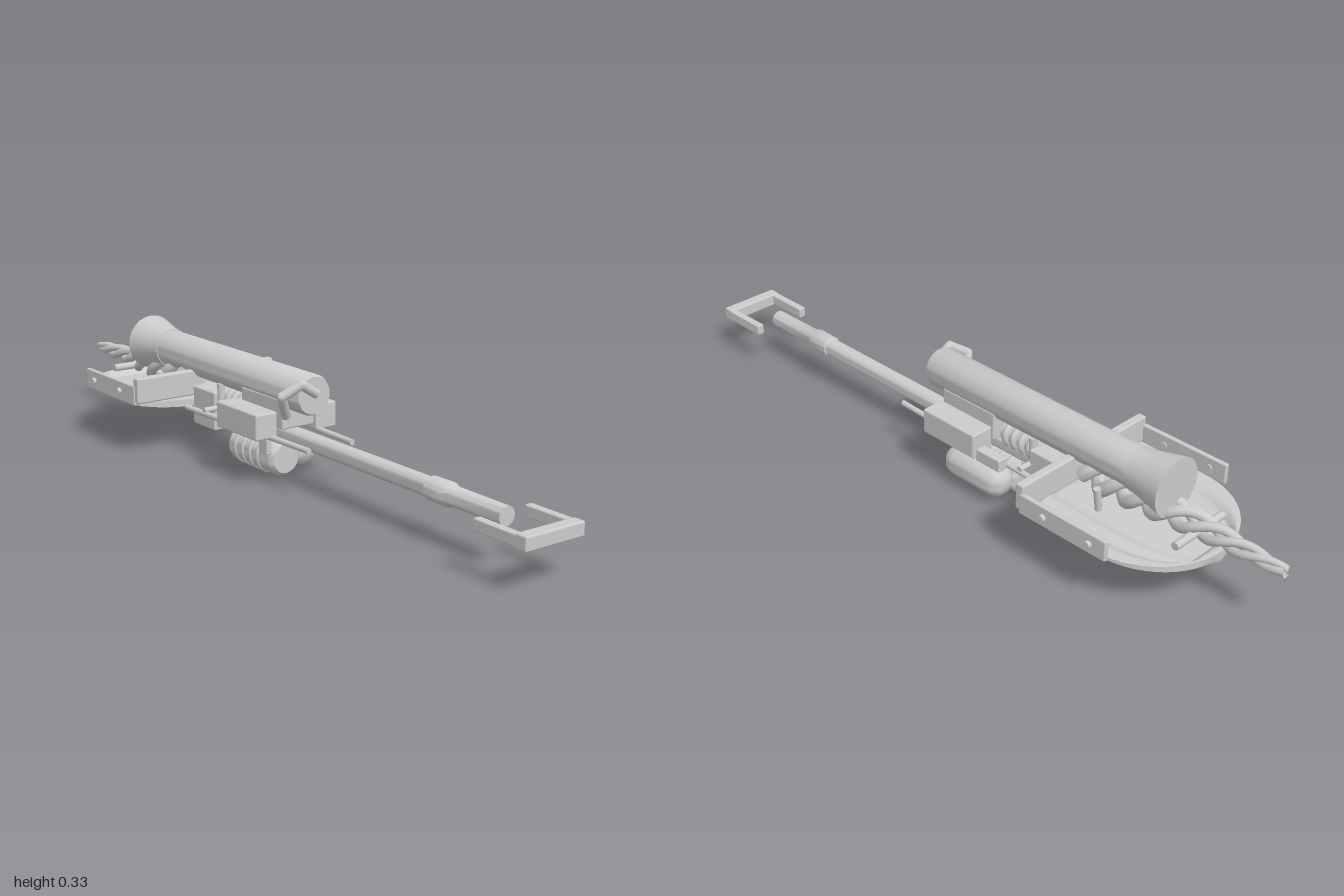
import * as THREE from 'three';
import { toCreasedNormals } from 'three/addons/utils/BufferGeometryUtils.js';
import { RoundedBoxGeometry } from 'three/addons/geometries/RoundedBoxGeometry.js';

const mat = new THREE.MeshStandardMaterial({ color: 0xcccccc });
const matBoth = new THREE.MeshStandardMaterial({ color: 0xcccccc, side: THREE.DoubleSide });
const V = (x, y, z) => new THREE.Vector3(x, y, z);

export function createModel() {
  const model = new THREE.Group();

  const add = (name, geo, material = mat) => {
    const mesh = new THREE.Mesh(geo, material);
    mesh.name = name;
    model.add(mesh);
    return mesh;
  };
  // Bevelled box from its lower and upper limits
  const box = (name, x0, x1, y0, y1, z0, z1, r = 0.005) => {
    const b = add(name, new RoundedBoxGeometry(x1 - x0, y1 - y0, z1 - z0, 2, r));
    b.position.set((x0 + x1) / 2, (y0 + y1) / 2, (z0 + z1) / 2);
  };
  // Turned part along z, profile given as [radius, z]; runs from back to front
  const turned = (name, x, y, profile, sides = 32) => {
    const geo = new THREE.LatheGeometry(profile.map(([r, z]) => new THREE.Vector2(r, z)), sides);
    geo.rotateX(Math.PI / 2);
    add(name, toCreasedNormals(geo, 0.7)).position.set(x, y, 0);
  };
  const rod = (name, a, b, r, sides = 12) => {
    const m = add(name, new THREE.CylinderGeometry(r, r, a.distanceTo(b), sides));
    m.position.copy(a).lerp(b, 0.5);
    m.quaternion.setFromUnitVectors(V(0, 1, 0), b.clone().sub(a).normalize());
  };

  // Barrel with collar
  turned('barrel', 0, 0.128, [[0, -0.3], [0.025, -0.3], [0.025, 0.595], [0.03, 0.6], [0.031, 0.665],
    [0.025, 0.675], [0.024, 0.85], [0, 0.85]]);

  // U-shaped front guard
  box('guardBar', -0.09, 0.09, 0.105, 0.142, 0.965, 1.0);
  for (const s of [-1, 1]) {
    box('guardArm', s * 0.079 - 0.011, s * 0.079 + 0.011, 0.108, 0.139, 0.835, 0.975, 0.004);
  }

  // Upper tube with flared rear
  turned('upperTube', 0, 0.255, [[0, -0.6], [0.053, -0.6], [0.055, 0.128], [0.05, 0.138], [0, 0.138]], 40);
  turned('tubeFlare', 0, 0.255, [[0, -0.675], [0.079, -0.675], [0.07, -0.635], [0.06, -0.59], [0.056, -0.555], [0, -0.555]], 24);

  // Bent crank on the tube front
  const crankPoints = [V(0, 0.262, 0.148), V(-0.048, 0.293, 0.148), V(-0.094, 0.262, 0.125), V(-0.058, 0.2, 0.095)];
  crankPoints.slice(1).forEach((p, i) => rod('crank', crankPoints[i], p, 0.013));
  crankPoints.slice(1, 3).forEach((p) => add('crankElbow', new THREE.SphereGeometry(0.013, 12, 8)).position.copy(p));

  // Central housing and side boxes
  box('housing', -0.052, 0.052, 0.155, 0.235, -0.12, 0.07);
  for (const s of [-1, 1]) {
    box('sideBox', s * 0.097 - 0.034, s * 0.097 + 0.034, 0.135, 0.206, -0.125, 0.063);
    rod('sideRail', V(s * 0.07, 0.135, 0.21), V(s * 0.088, 0.135, -0.34), 0.008);
    rod('mountPost', V(s * 0.035, 0.09, -0.245), V(s * 0.035, 0.215, -0.245), 0.011);
    rod('rearPost', V(s * 0.07, 0.14, -0.5), V(s * 0.08, 0.205, -0.5), 0.01);
  }
  rod('crossRod', V(-0.09, 0.145, -0.25), V(0.09, 0.145, -0.25), 0.008);
  box('rightBlock', 0.088, 0.118, 0.125, 0.16, -0.205, -0.12, 0.003);

  // Ribbed coupling behind the housing
  rod('couplingCore', V(0, 0.165, -0.12), V(0, 0.165, -0.38), 0.027, 20);
  for (let i = 0; i < 4; i++) {
    add('couplingRing', new THREE.TorusGeometry(0.028, 0.01, 8, 24)).position.set(0, 0.165, -0.14 - i * 0.028);
  }
  box('rearBlock', -0.055, 0.055, 0.08, 0.19, -0.36, -0.25);
  box('rearLink', -0.02, 0.02, 0.085, 0.11, -0.4, -0.19, 0.003);

  // Lower drum with ribs, and the smooth tank beside it
  turned('drum', 0, 0.055, [[0, -0.195], [0.04, -0.195], [0.05, -0.185], [0.05, 0.003], [0.04, 0.015], [0, 0.015]]);
  for (let i = 0; i < 4; i++) {
    add('drumRib', new THREE.TorusGeometry(0.048, 0.007, 8, 32)).position.set(0, 0.055, -0.05 - i * 0.035);
  }
  turned('sideTank', 0.075, 0.062, [[0, -0.195], [0.025, -0.19], [0.04, -0.175], [0.045, -0.155], [0.045, -0.025],
    [0.04, -0.005], [0.025, 0.01], [0, 0.015]]);

  // Small hook under the housing
  box('hook', -0.06, -0.042, 0.072, 0.15, -0.03, 0.01, 0.004);

  // Rear cross plate, side plates and bolts
  box('crossPlate', -0.23, 0.23, 0.157, 0.23, -0.395, -0.37);
  for (const s of [-1, 1]) {
    box('sidePlate', s * 0.226 - 0.007, s * 0.226 + 0.007, 0.15, 0.207, -0.66, -0.385, 0.004);
    for (const z of [-0.465, -0.61]) rod('bolt', V(s * 0.215, 0.178, z), V(s * 0.243, 0.178, z), 0.01);
  }

  // Dished rear tray: closed cross-sections from front to rounded rear
  const cols = 40, zs = [];
  for (let i = 0; i <= 8; i++) zs.push(-0.38 - i * 0.0275);
  for (let i = 1; i <= 16; i++) zs.push(-0.6 - 0.22 * Math.sin((i / 16) * Math.PI / 2));
  const pos = [], index = [], ring = 2 * (cols + 1);
  const trayRow = (z, collapse) => {
    const t = (-z - 0.38) / 0.44;
    const d = Math.max(0, (-z - 0.6) / 0.22);
    const w = 0.22 * Math.sqrt(Math.max(0.0004, 1 - d * d));
    for (let k = 0; k < ring; k++) {
      const top = k <= cols;
      const u = (top ? k : ring - 1 - k) / cols * 2 - 1;
      const edge = Math.max(Math.abs(u), d * d);
      const rim = THREE.MathUtils.smoothstep(edge, 0.68, 0.84);
      const ridge = 0.008 * Math.exp(-(((Math.abs(u) - 0.55) / 0.06) ** 2)) * (1 - d);
      const yTop = 0.138 + 0.018 * rim + ridge - 0.008 * t;
      const yBottom = 0.123 + 0.027 * u * u * (1 - 0.6 * d) - 0.005 * t;
      pos.push(collapse ? 0 : u * w, collapse ? 0.14 : top ? yTop : Math.min(yBottom, yTop - 0.004), z);
    }
  };
  trayRow(zs[0], true);
  zs.forEach((z) => trayRow(z, false));
  trayRow(zs[zs.length - 1], true);
  for (let i = 0; i < zs.length + 1; i++) {
    for (let k = 0; k < ring; k++) {
      const a = i * ring + k, b = i * ring + (k + 1) % ring;
      index.push(a, b, a + ring, b, b + ring, a + ring);
    }
  }
  const tray = new THREE.BufferGeometry();
  tray.setAttribute('position', new THREE.Float32BufferAttribute(pos, 3));
  tray.setIndex(index);
  add('tray', toCreasedNormals(tray, 0.6), matBoth);

  // Tapering twisted strands running out of the rear
  const strands = 3, steps = 70, sides = 10;
  for (let s = 0; s < strands; s++) {
    const path = [];
    for (let i = 0; i <= steps; i++) {
      const f = i / steps, z = -0.42 - 0.575 * f;
      const r = 0.034 * (1 - f) + 0.008;
      const a = f * Math.PI * 2 * 2.4 + (s / strands) * Math.PI * 2;
      path.push(V(Math.cos(a) * r, 0.188 - 0.006 * f + Math.sin(a) * r, z));
    }
    const curve = new THREE.CatmullRomCurve3(path);
    const geo = new THREE.TubeGeometry(curve, steps, 1, sides);
    // Narrow each strand toward its tip
    const p = geo.attributes.position, v = V(0, 0, 0);
    for (let i = 0; i <= steps; i++) {
      const c = curve.getPointAt(i / steps), r = 0.02 - 0.011 * (i / steps);
      for (let j = 0; j <= sides; j++) {
        const k = i * (sides + 1) + j;
        v.fromBufferAttribute(p, k).sub(c).multiplyScalar(r).add(c);
        p.setXYZ(k, v.x, v.y, v.z);
      }
    }
    geo.computeVertexNormals();
    add('twistedStrand', geo, matBoth);
  }
  rod('strandPin', V(-0.09, 0.17, -0.75), V(0.09, 0.17, -0.75), 0.011);

  return model;
}
